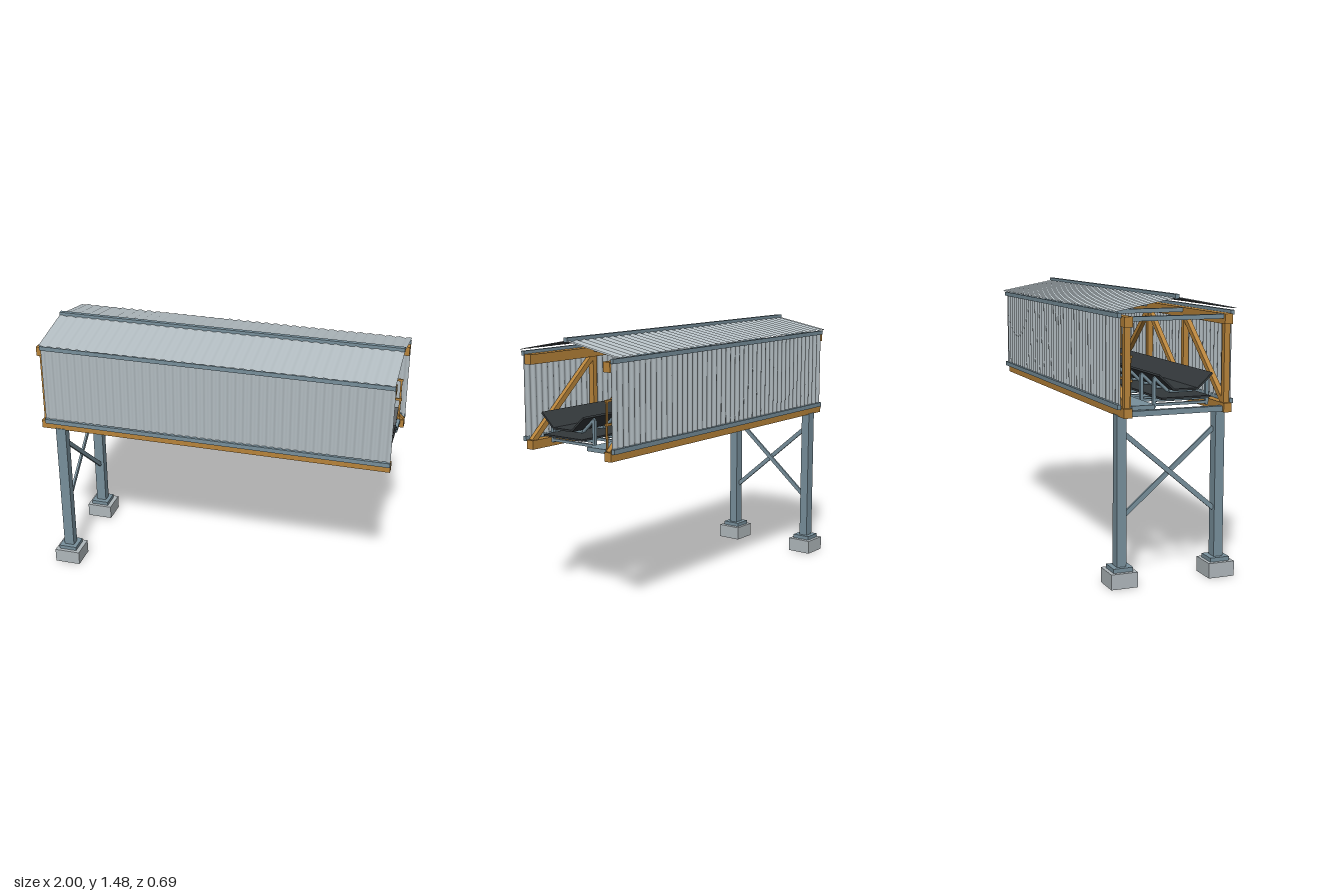
import * as THREE from 'three';

const mat = (name, color, side = THREE.FrontSide) => {
  const m = new THREE.MeshStandardMaterial({ color, side });
  m.name = name;
  return m;
};

export function createModel() {
  const model = new THREE.Group();
  model.name = 'conveyorGallery';
  const steel = mat('steel', 0x78909c);
  const timber = mat('ochre', 0xb8843a);
  const sheet = mat('sheetMetal', 0xb4bec3, THREE.DoubleSide);
  const concrete = mat('concrete', 0xb0b8bc);
  const rubber = mat('rubber', 0x33383b);

  const add = (name, geo, material) => {
    const mesh = new THREE.Mesh(geo, material);
    mesh.name = name;
    model.add(mesh);
    return mesh;
  };
  // Box given by its limits on each axis
  const box = (name, material, x0, x1, y0, y1, z0, z1) => {
    const m = add(name, new THREE.BoxGeometry(x1 - x0, y1 - y0, z1 - z0), material);
    m.position.set((x0 + x1) / 2, (y0 + y1) / 2, (z0 + z1) / 2);
    return m;
  };
  // Bar in an x-y plane
  const barXY = (name, material, x0, y0, x1, y1, z, w, d) => {
    const m = add(name, new THREE.BoxGeometry(Math.hypot(x1 - x0, y1 - y0), w, d), material);
    m.position.set((x0 + x1) / 2, (y0 + y1) / 2, z);
    m.rotation.z = Math.atan2(y1 - y0, x1 - x0);
  };
  // Bar in a z-y plane, with length along z and thickness w
  const barZY = (name, material, z0, y0, z1, y1, x, w, d) => {
    const m = add(name, new THREE.BoxGeometry(d, w, Math.hypot(z1 - z0, y1 - y0)), material);
    m.position.set(x, (y0 + y1) / 2, (z0 + z1) / 2);
    m.rotation.x = -Math.atan2(y1 - y0, z1 - z0);
  };
  // Corrugated sheet, ribs across its length
  const corrugated = (length, height, waves, amp) => {
    const g = new THREE.PlaneGeometry(length, height, waves * 8, 1);
    const p = g.attributes.position;
    for (let i = 0; i < p.count; i++) {
      p.setZ(i, amp * Math.sin((p.getX(i) / length) * waves * Math.PI * 2));
    }
    g.computeVertexNormals();
    return g;
  };

  const X0 = -0.97, X1 = 1, MID = (X0 + X1) / 2, LEN = X1 - X0;
  const nodes = [-0.97, -0.48, 0.01, 0.5, 0.985];

  for (const s of [1, -1]) {
    const span = (a, b) => (s > 0 ? [a, b] : [-b, -a]);

    // Support column on its footing
    box('footing', concrete, -0.96, -0.81, 0, 0.08, ...span(0.2, 0.345));
    box('basePlate', steel, -0.94, -0.835, 0.08, 0.102, ...span(0.218, 0.325));
    box('column', steel, -0.917, -0.858, 0.102, 0.885, ...span(0.247, 0.298));
    barZY('columnBrace', steel, -0.25 * s, 0.36, 0.25 * s, 0.785, -0.8875 + s * 0.006, 0.025, 0.012);

    // Side truss
    box('bottomChord', timber, -1, 1, 0.88, 0.928, ...span(0.25, 0.294));
    box('topChord', timber, -1, 1, 1.328, 1.38, ...span(0.25, 0.294));
    nodes.forEach((x, i) => {
      if (i < 4) box('trussPost', timber, x - 0.015, x + 0.015, 0.925, 1.33, ...span(0.256, 0.287));
      if (i < 2) barXY('trussDiagonal', timber, x, 0.92, nodes[i + 1], 1.34, s * 0.27, 0.03, 0.026);
      else if (i < 4) barXY('trussDiagonal', timber, x, 1.34, nodes[i + 1], 0.92, s * 0.27, 0.03, 0.026);
    });

    // Wall cladding and its rails
    const wall = add('wallSheet', corrugated(LEN, 0.45, 45, 0.005), sheet);
    wall.position.set(MID, 1.157, s * 0.302);
    if (s < 0) wall.rotation.y = Math.PI;
    box('wallTopRail', steel, X0, X1, 1.372, 1.396, ...span(0.298, 0.317));
    box('wallBottomRail', steel, X0, X1, 0.921, 0.946, ...span(0.298, 0.317));

    // Roof slope
    const rise = 0.062, run = 0.33;
    const roof = add('roofSheet', corrugated(LEN, Math.hypot(rise, run), 36, 0.003), sheet);
    roof.rotation.order = 'YXZ';
    roof.rotation.set(-Math.PI / 2 + Math.atan2(rise, run), s > 0 ? 0 : Math.PI, 0);
    roof.position.set(MID, 1.404 + rise / 2, s * run / 2);
  }
  box('ridgeCap', steel, X0, X1, 1.459, 1.482, -0.012, 0.012);

  // Cross beams between the trusses
  for (const x of nodes.slice(0, 4)) {
    box('floorBeam', steel, x - 0.015, x + 0.015, 0.884, 0.912, -0.252, 0.252);
    box('roofBeam', steel, x - 0.015, x + 0.015, 1.355, 1.378, -0.252, 0.252);
  }

  // Troughed carrying belt and flat return belt
  const C = 0.053, flat = 0.065, wing = 0.148;
  const trough = new THREE.Shape();
  [[-wing, 1.076], [-flat, 1.0], [flat, 1.0], [wing, 1.076], [wing - 0.005, 1.085], [flat - 0.003, 1.01],
    [-flat + 0.003, 1.01], [-wing + 0.005, 1.085]].forEach(([z, y], i) => (i ? trough.lineTo(z, y) : trough.moveTo(z, y)));
  const belt = add('carryingBelt', new THREE.ExtrudeGeometry(trough, { depth: 1.95, bevelEnabled: false }), rubber);
  belt.rotation.y = Math.PI / 2;
  belt.position.set(-0.97, 0, C);
  box('returnBelt', rubber, -0.97, 0.98, 0.958, 0.968, C - 0.135, C + 0.135);

  // Idler frames with troughing and return rollers
  const roller = (x, z0, y0, z1, y1) => {
    const m = add('idlerRoller', new THREE.CylinderGeometry(0.009, 0.009, Math.hypot(z1 - z0, y1 - y0), 10), steel);
    m.position.set(x, (y0 + y1) / 2, (z0 + z1) / 2);
    m.rotation.x = Math.atan2(z1 - z0, y1 - y0);
  };
  for (let i = 0; i < 12; i++) {
    const x = -0.9 + i * 0.1633;
    roller(x, C - flat, 0.99, C + flat, 0.99);
    for (const s of [1, -1]) {
      roller(x, C + s * (flat + 0.006), 0.992, C + s * wing, 1.064);
      box('idlerPost', steel, x - 0.009, x + 0.009, 0.912, 1.062, C + s * 0.146 - 0.008, C + s * 0.146 + 0.008);
    }
    roller(x, C - 0.142, 0.948, C + 0.142, 0.948);
    box('idlerCrossbar', steel, x - 0.009, x + 0.009, 0.918, 0.932, C - 0.146, C + 0.146);
  }

  // Walkway with handrail
  box('walkway', steel, X0, 0.98, 0.914, 0.936, -0.24, -0.116);
  for (const y of [1.06, 1.18]) box('handrail', timber, X0, 0.98, y - 0.006, y + 0.006, -0.248, -0.238);
  for (let i = 0; i < 9; i++) {
    const x = -0.95 + i * 0.24;
    box('handrailPost', timber, x - 0.005, x + 0.005, 0.93, 1.186, -0.247, -0.239);
  }
  return model;
}
